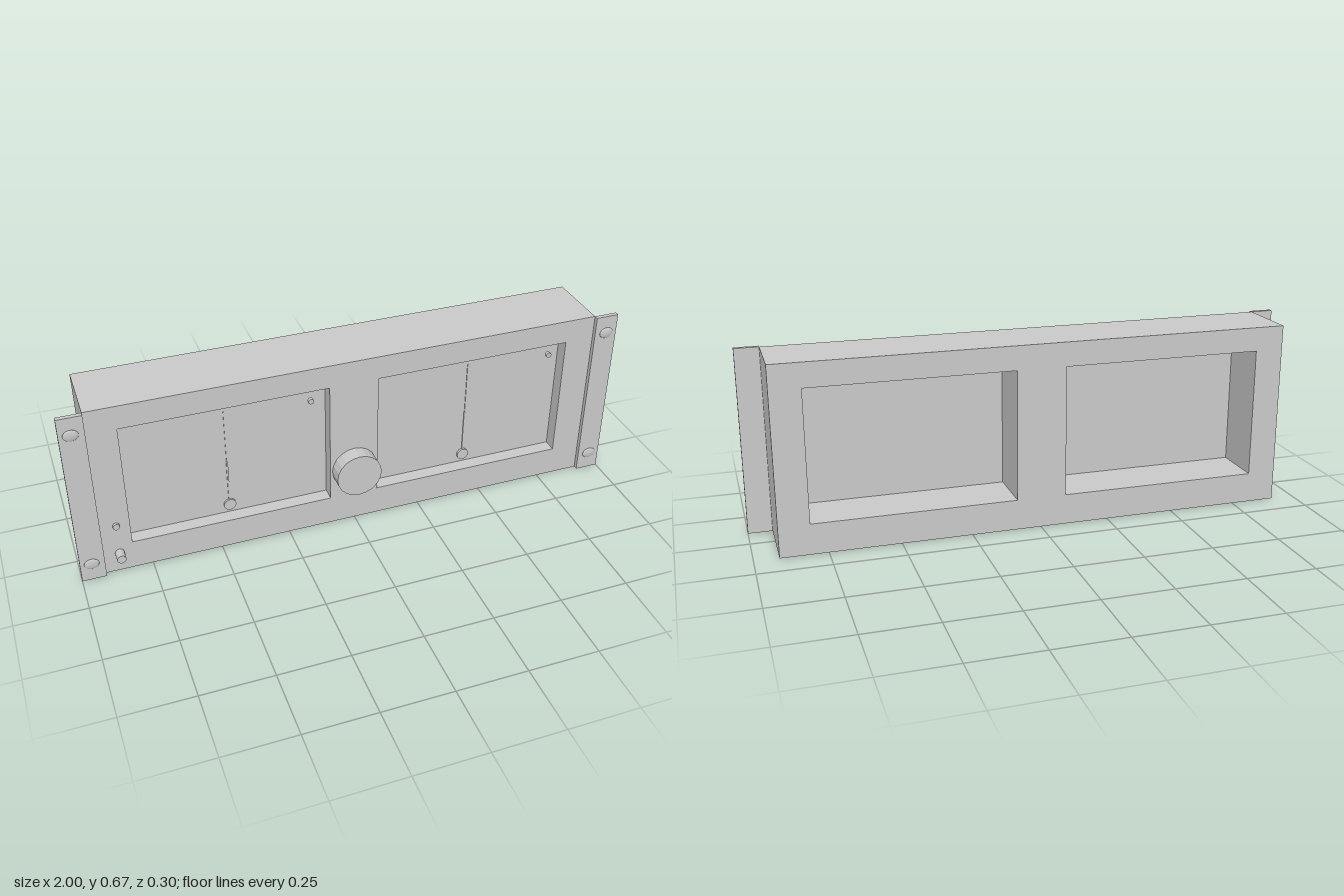
import * as THREE from 'three';

const W = 0.915, H = 0.667, BACK = -0.149, FRONT = 0.094, PLATE = 0.044;
const WINDOWS = [-0.452, 0.447];           // window centres in x
const WIN_W = 0.721, WIN_Y0 = 0.11, WIN_Y1 = 0.58;

export function createModel() {
  const model = new THREE.Group();
  const material = new THREE.MeshStandardMaterial({ color: 0xcccccc, flatShading: true });
  const smooth = new THREE.MeshStandardMaterial({ color: 0xcccccc });

  const add = (name, geometry, x, y, z, mat = material) => {
    const mesh = new THREE.Mesh(geometry, mat);
    mesh.name = name;
    mesh.position.set(x, y, z);
    model.add(mesh);
    return mesh;
  };
  // Box and forward-facing disc, both given by their z range
  const box = (name, x, y, w, h, z0, z1) =>
    add(name, new THREE.BoxGeometry(w, h, z1 - z0), x, y, (z0 + z1) / 2);
  const disc = (name, x, y, r, z0, z1, sides = 20) =>
    add(name, new THREE.CylinderGeometry(r, r, z1 - z0, sides).rotateX(Math.PI / 2), x, y, (z0 + z1) / 2);

  const rect = (path, x0, y0, x1, y1) =>
    path.moveTo(x0, y0).lineTo(x1, y0).lineTo(x1, y1).lineTo(x0, y1).closePath();

  // Housing with two window openings running front to back
  const outline = new THREE.Shape();
  rect(outline, -W, 0, W, H);
  for (const x of WINDOWS) {
    const hole = new THREE.Path();
    rect(hole, x - WIN_W / 2, WIN_Y0, x + WIN_W / 2, WIN_Y1);
    outline.holes.push(hole);
  }
  add('housing', new THREE.ExtrudeGeometry(outline, { depth: FRONT - BACK, bevelEnabled: false }), 0, 0, BACK);

  // Meters: dial plate, stepped needle, pivot and warning lamp
  for (const x of WINDOWS) {
    box('dialPlate', x, (WIN_Y0 + WIN_Y1) / 2, WIN_W, WIN_Y1 - WIN_Y0, PLATE - 0.003, PLATE);
    box('needleBase', x, 0.24, 0.006, 0.18, PLATE, PLATE + 0.004);
    box('needleTip', x, 0.432, 0.003, 0.205, PLATE, PLATE + 0.003);
    disc('needlePivot', x, 0.145, 0.022, PLATE, PLATE + 0.008);
    disc('meterLamp', x + 0.292, 0.545, 0.01, FRONT - 0.004, 0.102, 12);
  }

  // Mounting ears with low domed screws
  for (const side of [-1, 1]) {
    box('mountingEar', side * (W + 1) / 2, H / 2, 1 - W, H, FRONT, 0.11);
    for (const y of [0.067, 0.6]) {
      const screw = add('earScrew', new THREE.SphereGeometry(1, 20, 12), side * 0.96, y, 0.11, smooth);
      screw.scale.set(0.026, 0.021, 0.005);
    }
  }

  // Front controls
  disc('volumeKnob', -0.001, 0.226, 0.083, FRONT, 0.15);
  disc('powerLamp', -0.86, 0.195, 0.012, FRONT, 0.104, 12);
  disc('powerButton', -0.86, 0.076, 0.016, FRONT, 0.134, 16);

  return model;
}
